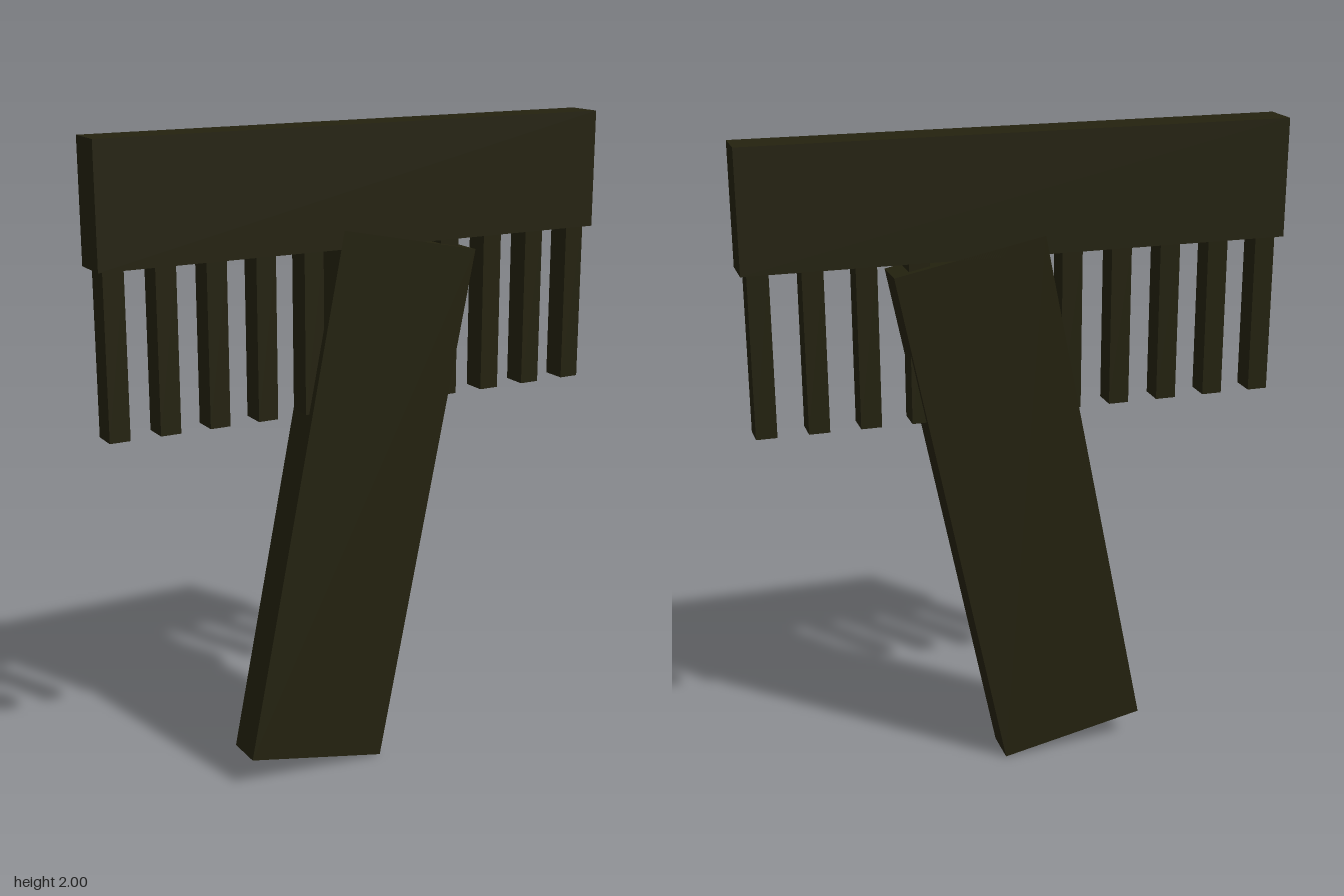
import * as THREE from 'three';

export function createModel() {
  const group = new THREE.Group();
  const darkOlive = new THREE.MeshStandardMaterial({ color: 0x24220f });
  darkOlive.name = 'darkOlive';

  function box(name, w, h, d, x, y) {
    const mesh = new THREE.Mesh(new THREE.BoxGeometry(w, h, d), darkOlive);
    mesh.name = name;
    mesh.position.set(x, y, 0);
    group.add(mesh);
    return mesh;
  }

  // Wide bar across the top
  box('headBar', 1.636, 0.355, 0.12, 0, 1.8225);

  // Slanted handle, its top corner sunk into the bar
  box('handle', 0.46, 1.64, 0.12, -0.002, 0.85).rotation.z = -0.2;

  // Row of teeth hanging from the bar
  const teeth = 11;
  for (let i = 0; i < teeth; i++) {
    box(`tooth${i + 1}`, 0.062, 0.485, 0.078, (i - (teeth - 1) / 2) * 0.1535, 1.4025);
  }

  return group;
}
